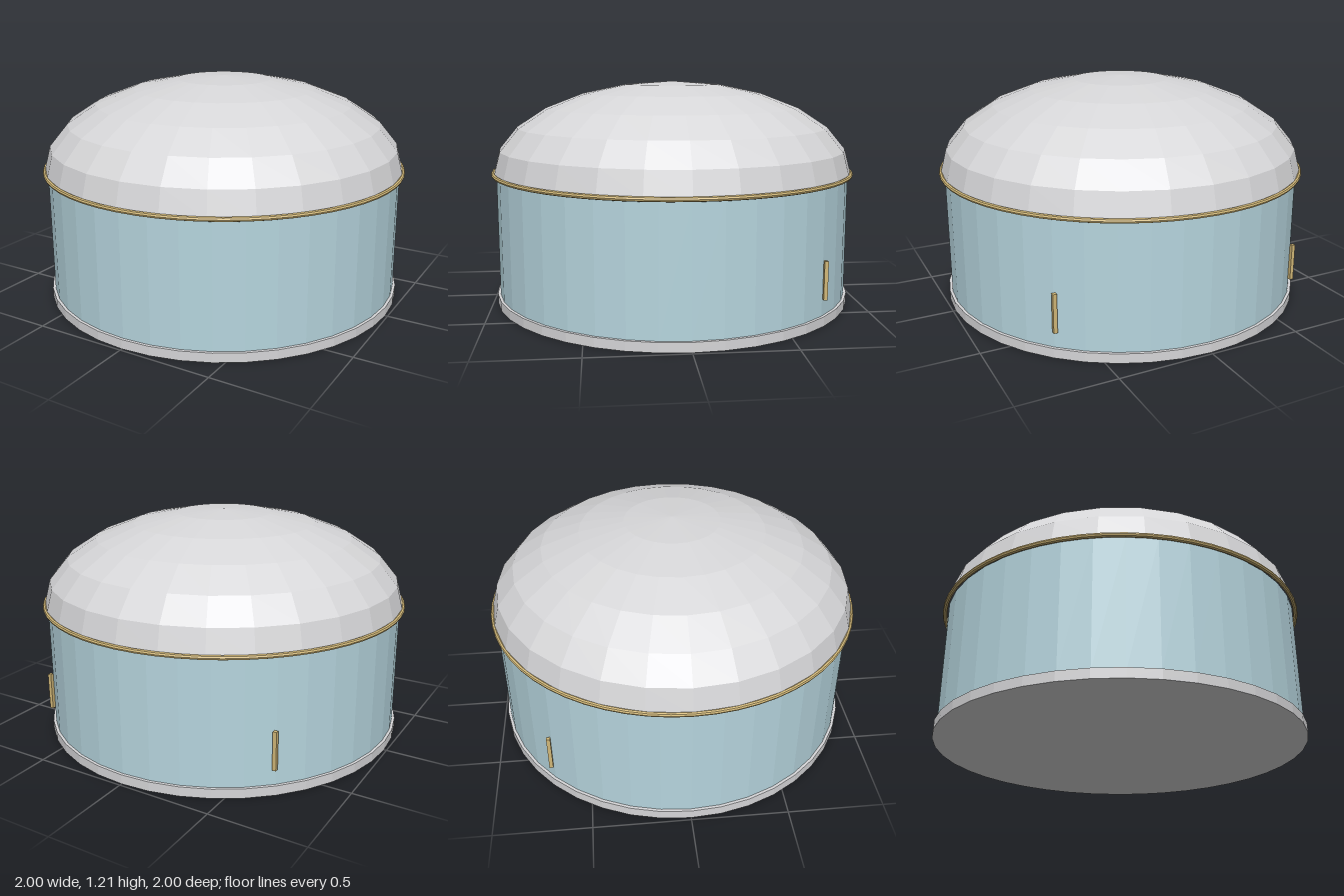
import * as THREE from 'three';

const flat = (name, color) => {
  const m = new THREE.MeshStandardMaterial({ color, flatShading: true });
  m.name = name;
  return m;
};

export function createModel() {
  const group = new THREE.Group();
  const silver = flat('silver', 0xd6d6d8);
  const paleBlue = flat('paleBlue', 0xb6d5de);
  const gold = flat('gold', 0xd2b878);

  const add = (name, geometry, material, x, y, z) => {
    const mesh = new THREE.Mesh(geometry, material);
    mesh.name = name;
    mesh.position.set(x, y, z);
    group.add(mesh);
    return mesh;
  };

  // Foot ring and faceted drum wall
  add('base', new THREE.CylinderGeometry(0.987, 0.987, 0.05, 40), silver, 0, 0.025, 0);
  add('wall', new THREE.CylinderGeometry(0.972, 0.972, 0.665, 40), paleBlue, 0, 0.3775, 0);

  // Flattened half-sphere lid
  const dome = new THREE.SphereGeometry(0.99, 28, 6, 0, Math.PI * 2, 0, Math.PI / 2);
  dome.scale(1, 0.5, 1);
  add('domeLid', dome, silver, 0, 0.71, 0);

  // Thin trim ring around the seam
  const trim = new THREE.TorusGeometry(0.988, 0.012, 8, 60);
  trim.rotateX(Math.PI / 2);
  add('trimRing', trim, gold, 0, 0.711, 0);

  // Pair of upright bars on the back of the wall
  for (const side of [1, -1]) {
    add(side > 0 ? 'leftBar' : 'rightBar', new THREE.BoxGeometry(0.02, 0.2, 0.02), gold, side * 0.69, 0.235, -0.703);
  }

  return group;
}
